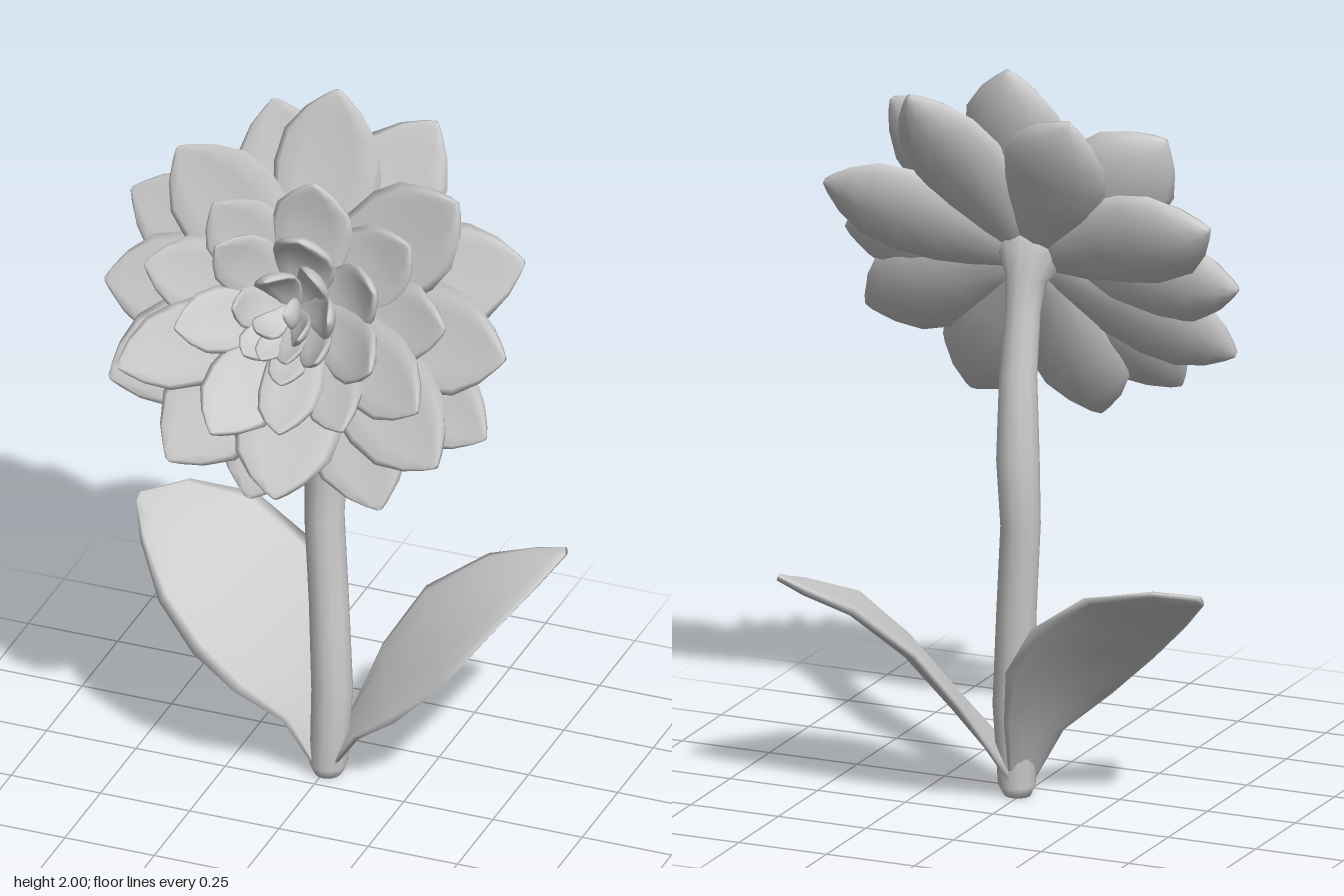
import * as THREE from 'three';

const V = (x, y, z) => new THREE.Vector3(x, y, z);
const TILT = 0.385; // how far the bloom looks upward
const AXIS = V(0, Math.sin(TILT), Math.cos(TILT));
const UP = V(0, Math.cos(TILT), -Math.sin(TILT));
const HUB = V(0, 1.45, 0);

// Closed loft through rounded sections { c: centre, w: half width vector, th: half thickness, cup: sunken middle }
function loft(rows, seg = 12, power = 1) {
  const pos = [], idx = [];
  rows.forEach((row, r) => {
    const d = rows[Math.min(r + 1, rows.length - 1)].c.clone().sub(rows[Math.max(r - 1, 0)].c);
    const n = d.cross(row.w).normalize();
    for (let i = 0; i < seg; i++) {
      const a = (i / seg) * Math.PI * 2, co = Math.cos(a), si = Math.sin(a);
      const p = row.c.clone().addScaledVector(row.w, co)
        .addScaledVector(n, row.th * Math.sign(si) * Math.abs(si) ** power + (row.cup || 0) * (co * co - 1));
      pos.push(p.x, p.y, p.z);
    }
  });
  for (let r = 0; r < rows.length - 1; r++) {
    for (let i = 0; i < seg; i++) {
      const a = r * seg + i, b = r * seg + (i + 1) % seg;
      idx.push(a, b, b + seg, a, b + seg, a + seg);
    }
  }
  const last = (rows.length - 1) * seg;
  for (let i = 1; i < seg - 1; i++) {
    idx.push(0, i + 1, i, last, last + i, last + i + 1);
  }
  const g = new THREE.BufferGeometry();
  g.setAttribute('position', new THREE.Float32BufferAttribute(pos, 3));
  g.setIndex(idx);
  g.computeVertexNormals();
  return g;
}

// Puffy petal from base to tip, its inner face turned toward the bloom axis
const OUTLINE = [[0, 0.45], [0.2, 0.65], [0.42, 0.92], [0.62, 1], [0.78, 0.88], [0.9, 0.54], [0.97, 0.22], [1, 0.05]];
function petal(base, tip, halfWidth, bend) {
  const e = tip.clone().sub(base);
  const dir = e.clone().normalize();
  const n = AXIS.clone().addScaledVector(dir, -AXIS.dot(dir)).normalize();
  const side = n.clone().cross(dir);
  return loft(OUTLINE.map(([t, s]) => ({
    c: base.clone().addScaledVector(e, t).addScaledVector(n, -bend * Math.sin(Math.PI * t)),
    w: side.clone().multiplyScalar(halfWidth * s),
    th: halfWidth * 0.23 * Math.sqrt(s),
    cup: halfWidth * 0.2 * s,
  })), 12, 0.75);
}

// Leaf from matching points on its two edges
function leaf(edges) {
  return loft(edges.map(([a, b], i) => {
    const p = V(...a), q = V(...b);
    const s = Math.sin((Math.PI * i) / (edges.length - 1));
    return {
      c: p.clone().add(q).multiplyScalar(0.5),
      w: p.clone().sub(q).multiplyScalar(0.5),
      th: 0.01 + 0.01 * s,
      cup: 0.015 * s,
    };
  }));
}

// Tips set in a circle square to the bloom axis, every other one a little further out
function ring(centre, radius, count, phase) {
  return Array.from({ length: count }, (_, i) => {
    const a = phase + (i / count) * Math.PI * 2;
    const r = radius * (i % 2 ? 1 : 0.85);
    return V(...centre).addScaledVector(AXIS, i % 2 ? 0 : 0.02)
      .add(V(Math.cos(a) * r, 0, 0)).addScaledVector(UP, Math.sin(a) * r).toArray();
  });
}

export function createModel() {
  const model = new THREE.Group();
  const grey = new THREE.MeshStandardMaterial({ color: 0xcccccc });
  grey.name = 'light grey';
  const add = (name, geometry, parent = model) => {
    const m = new THREE.Mesh(geometry, grey);
    m.name = name;
    parent.add(m);
  };

  // Stem, gently bowed backward, flaring into the bloom
  const stemPoints = [
    [0.01, 0, -0.07, 0.035], [0.012, 0.03, -0.07, 0.05], [0.02, 0.25, -0.075, 0.055],
    [0.005, 0.5, -0.09, 0.053], [-0.015, 0.75, -0.108, 0.053], [-0.012, 0.93, -0.118, 0.057],
    [0, 1.15, -0.09, 0.05], [0, 1.32, -0.06, 0.047], [0, 1.4, -0.04, 0.055],
    [0, 1.435, -0.02, 0.085], [0, 1.455, 0.015, 0.14], [0, 1.475, 0.06, 0.13],
  ];
  add('stem', loft(stemPoints.map(([x, y, z, r]) => ({ c: V(x, y, z), w: V(r, 0, 0), th: r }))));

  // Leaves, clasping the foot of the stem
  add('leftLeaf', leaf([
    [[0.0, 0.02, -0.1], [0.03, 0.03, -0.04]],
    [[0.04, 0.15, -0.18], [0.11, 0.15, -0.01]],
    [[0.08, 0.29, -0.28], [0.23, 0.24, 0.015]],
    [[0.17, 0.44, -0.36], [0.36, 0.37, 0.01]],
    [[0.33, 0.55, -0.4], [0.46, 0.5, -0.08]],
    [[0.46, 0.59, -0.41], [0.53, 0.58, -0.27]],
    [[0.55, 0.615, -0.395], [0.555, 0.61, -0.37]],
  ]));
  add('rightLeaf', leaf([
    [[-0.02, 0.03, -0.04], [0.02, 0.02, -0.1]],
    [[-0.09, 0.17, 0], [0, 0.23, -0.18]],
    [[-0.2, 0.265, 0.06], [-0.05, 0.4, -0.28]],
    [[-0.31, 0.37, 0.08], [-0.14, 0.54, -0.32]],
    [[-0.42, 0.48, 0.04], [-0.29, 0.645, -0.32]],
    [[-0.52, 0.58, -0.08], [-0.46, 0.67, -0.28]],
    [[-0.57, 0.62, -0.18], [-0.565, 0.65, -0.205]],
  ]));

  // Bloom: layers of petals from the back to the central bud
  const bloom = new THREE.Group();
  bloom.name = 'bloom';
  model.add(bloom);
  const layers = [
    { name: 'backPetal', lift: 0.01, width: 0.145, bend: 0, tips: [
      [0.25, 1.92, -0.23], [-0.2, 1.9, -0.22], [0.54, 1.62, -0.12], [-0.55, 1.62, -0.1],
      [0.53, 1.22, 0.13], [-0.51, 1.2, 0.16], [0.27, 1.0, 0.22], [-0.09, 0.97, 0.24]] },
    { name: 'outerPetal', lift: 0.04, width: 0.15, bend: 0.01, tips: [
      [0, 2.0, -0.16], [0.4, 1.83, 0], [-0.39, 1.82, -0.02], [0.565, 1.44, 0.08],
      [-0.57, 1.42, 0.04], [-0.3, 1.06, 0.28], [0.44, 1.18, 0.25], [0.04, 1.07, 0.38]] },
    { name: 'middlePetal', lift: 0.08, width: 0.115, bend: 0.02, tips: [
      [-0.13, 1.24, 0.4], [-0.44, 1.31, 0.28], [0.39, 1.34, 0.26], [0.42, 1.53, 0.14],
      [-0.42, 1.55, 0.14], [0.29, 1.71, 0.06], [-0.26, 1.72, 0.06], [0.01, 1.82, 0.03]] },
    { name: 'innerPetal', lift: 0.1, width: 0.09, bend: 0.03, tips: [
      [-0.28, 1.46, 0.28], [0.27, 1.45, 0.29], [0.24, 1.62, 0.18], [-0.21, 1.66, 0.17],
      [0.02, 1.72, 0.16], [0.22, 1.3, 0.36], [0.06, 1.28, 0.4]] },
    { name: 'budPetal', lift: 0.14, width: 0.058, bend: 0.03, tips: ring([0.03, 1.53, 0.285], 0.15, 7, 0.3) },
    { name: 'heartPetal', lift: 0.18, width: 0.042, bend: 0.02, tips: ring([0.03, 1.51, 0.325], 0.07, 5, 0.3) },
  ];
  for (const { name, lift, width, bend, tips } of layers) {
    const base = HUB.clone().addScaledVector(AXIS, lift);
    for (const tip of tips) add(name, petal(base, V(...tip), width, bend), bloom);
  }
  return model;
}
